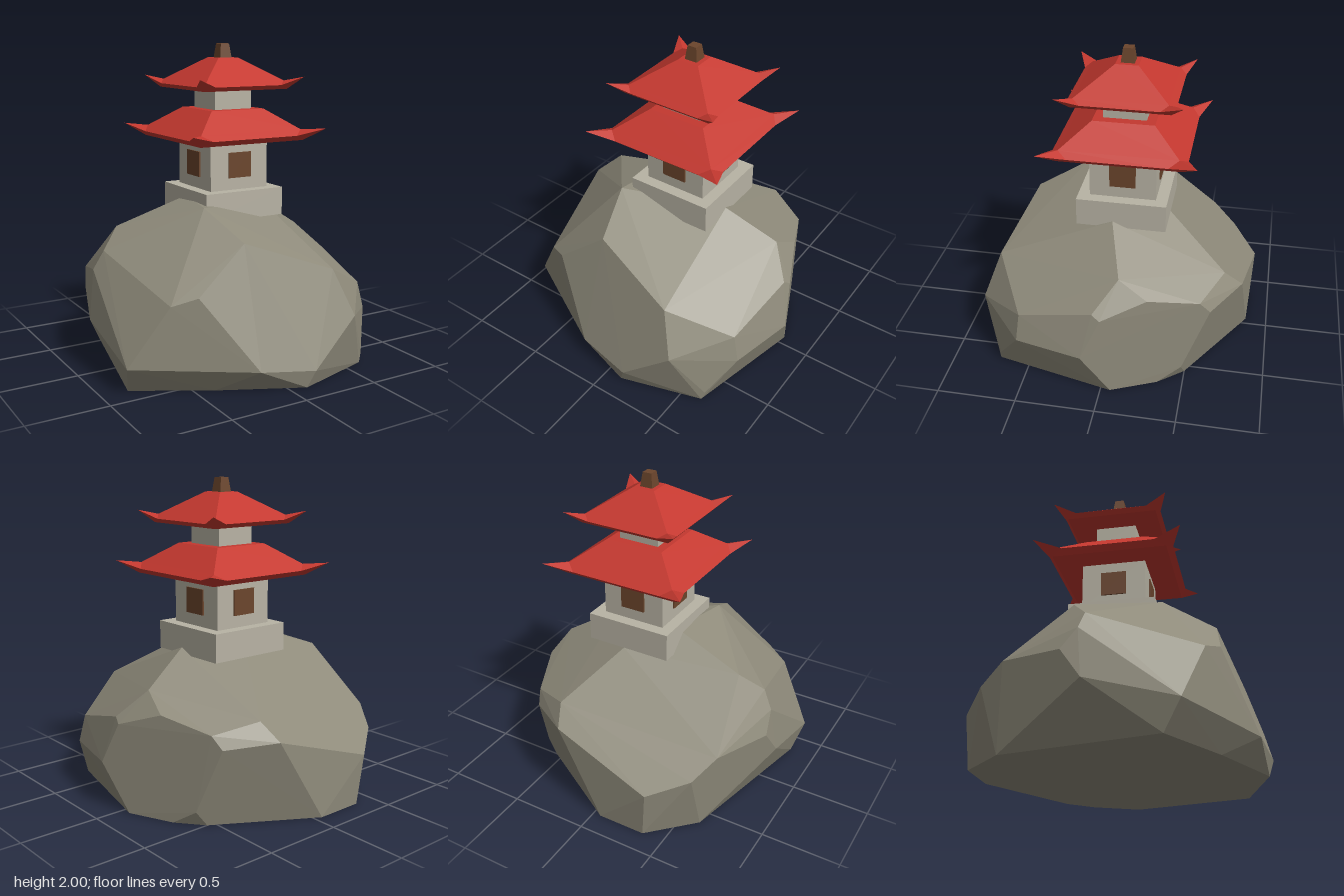
import * as THREE from 'three';
import { ConvexGeometry } from 'three/addons/geometries/ConvexGeometry.js';

const flat = (color, name) => {
  const m = new THREE.MeshStandardMaterial({ color, flatShading: true });
  m.name = name;
  return m;
};

// Corner points of the faceted boulder
const ROCK = [
  // front
  [-0.18, 0.862, 0.606], [0.376, 0.66, 0.73], [0.476, 0.376, 0.83], [0.153, 0.106, 0.883],
  [-0.2, 0.148, 0.83], [-0.508, 0.593, 0.648], [-0.65, 0.545, 0.575], [-0.878, 0.175, 0.463],
  // left flank
  [0.34, 0.955, 0.005], [0.667, 0.762, -0.093], [0.813, 0.593, 0.045], [0.83, 0.56, -0.005],
  [0.71, 0.656, -0.272], [0.88, 0.3, 0.11], [0.785, 0.3, 0.535], [0.746, 0.47, 0.52],
  [0.65, 0.063, 0.69], [0.62, 0.095, -0.484],
  // back
  [0.58, 0.582, -0.58], [0.55, 0.503, -0.643], [0.267, 0.534, -0.82], [0.32, 0.646, -0.706],
  [0.087, 0.915, -0.325], [-0.39, 0.323, -0.884], [-0.617, 0.41, -0.72], [-0.707, 0.52, -0.567],
  // right flank and crown
  [-0.84, 0.63, -0.1], [-0.778, 0.746, -0.075], [-0.645, 0.868, -0.175], [-0.27, 1.026, 0.288],
  [-0.175, 1.03, -0.116], [-0.883, 0.32, -0.07], [-0.858, 0.5, -0.194],
  // footprint
  [0.63, 0, 0.7], [0.804, 0, -0.06], [0.68, 0, -0.34], [0.55, 0, -0.5], [-0.05, 0, -0.86],
  [-0.36, 0, -0.86], [-0.62, 0, -0.6], [-0.83, 0, 0.36], [-0.386, 0, 0.615], [0.11, 0, 0.854],
];

// Hipped roof with upswept corner tips; each entry is [half width, height]
function roofGeometry({ top, hip, eave, eaveRun, tip, under }) {
  const pos = [];
  const tri = (...pts) => pts.forEach((p) => pos.push(p.x, p.y, p.z));
  const quad = (a, b, c, d) => { tri(a, b, c); tri(a, c, d); };
  for (let i = 0; i < 4; i++) {
    const at = (x, y, z) => new THREE.Vector3(x, y, z).applyAxisAngle(new THREE.Vector3(0, 1, 0), i * Math.PI / 2);
    const pair = ([w, y], run = w) => [at(-run, y, w), at(run, y, w)];
    const [tl, tr] = pair(top), [hl, hr] = pair(hip), [el, er] = pair(eave, eaveRun);
    const [pl, pr] = pair(tip), [ul, ur] = pair(under);
    quad(tl, hl, hr, tr);            // slope
    quad(hl, el, er, hr);
    tri(hr, er, pr); tri(hl, pl, el); // upswept corners
    quad(ul, ur, er, el);            // fascia
    tri(ur, pr, er); tri(ul, el, pl);
    tri(at(0, under[1], 0), ur, ul); // soffit
    tri(at(0, top[1], 0), tl, tr);   // cap
  }
  const g = new THREE.BufferGeometry();
  g.setAttribute('position', new THREE.Float32BufferAttribute(pos, 3));
  g.computeVertexNormals();
  return g;
}

export function createModel() {
  const stone = flat(0x8f8b7b, 'rock stone');
  const plaster = flat(0xb8b3a4, 'pale plaster');
  const red = flat(0xc4382f, 'red roof');
  const wood = flat(0x6b452c, 'brown wood');

  const model = new THREE.Group();
  model.name = 'pagodaOnRock';
  const add = (parent, name, geometry, material) => {
    const mesh = new THREE.Mesh(geometry, material);
    mesh.name = name;
    parent.add(mesh);
    return mesh;
  };

  add(model, 'rock', new ConvexGeometry(ROCK.map((p) => new THREE.Vector3(...p))), stone);

  const pagoda = new THREE.Group();
  pagoda.name = 'pagoda';
  pagoda.position.set(0.057, 0, -0.046);
  model.add(pagoda);

  // Square storeys: half width, bottom, top
  const block = (name, half, y0, y1) => {
    const mesh = add(pagoda, name, new THREE.BoxGeometry(half * 2, y1 - y0, half * 2), plaster);
    mesh.position.y = (y0 + y1) / 2;
  };
  block('plinth', 0.28, 0.915, 1.093);
  block('lowerStorey', 0.207, 1.093, 1.41);
  block('upperStorey', 0.133, 1.58, 1.73);

  // Window panel on each wall
  for (let i = 0; i < 4; i++) {
    const a = i * Math.PI / 2;
    const w = add(pagoda, 'window', new THREE.BoxGeometry(0.162, 0.16, 0.009), wood);
    w.position.set(Math.sin(a) * 0.2145, 1.25, Math.cos(a) * 0.2145);
    w.rotation.y = a;
  }

  add(pagoda, 'lowerRoof', roofGeometry({
    top: [0.19, 1.593], hip: [0.36, 1.468], eave: [0.407, 1.434], eaveRun: 0.3, tip: [0.475, 1.477], under: [0.37, 1.4],
  }), red);
  add(pagoda, 'upperRoof', roofGeometry({
    top: [0.07, 1.912], hip: [0.28, 1.772], eave: [0.32, 1.746], eaveRun: 0.235, tip: [0.373, 1.797], under: [0.295, 1.72],
  }), red);

  // Tapered square finial
  const finial = add(pagoda, 'finial',
    new THREE.CylinderGeometry(0.03 * Math.SQRT2, 0.042 * Math.SQRT2, 0.09, 4), wood);
  finial.rotation.y = Math.PI / 4;
  finial.position.y = 1.955;

  return model;
}
